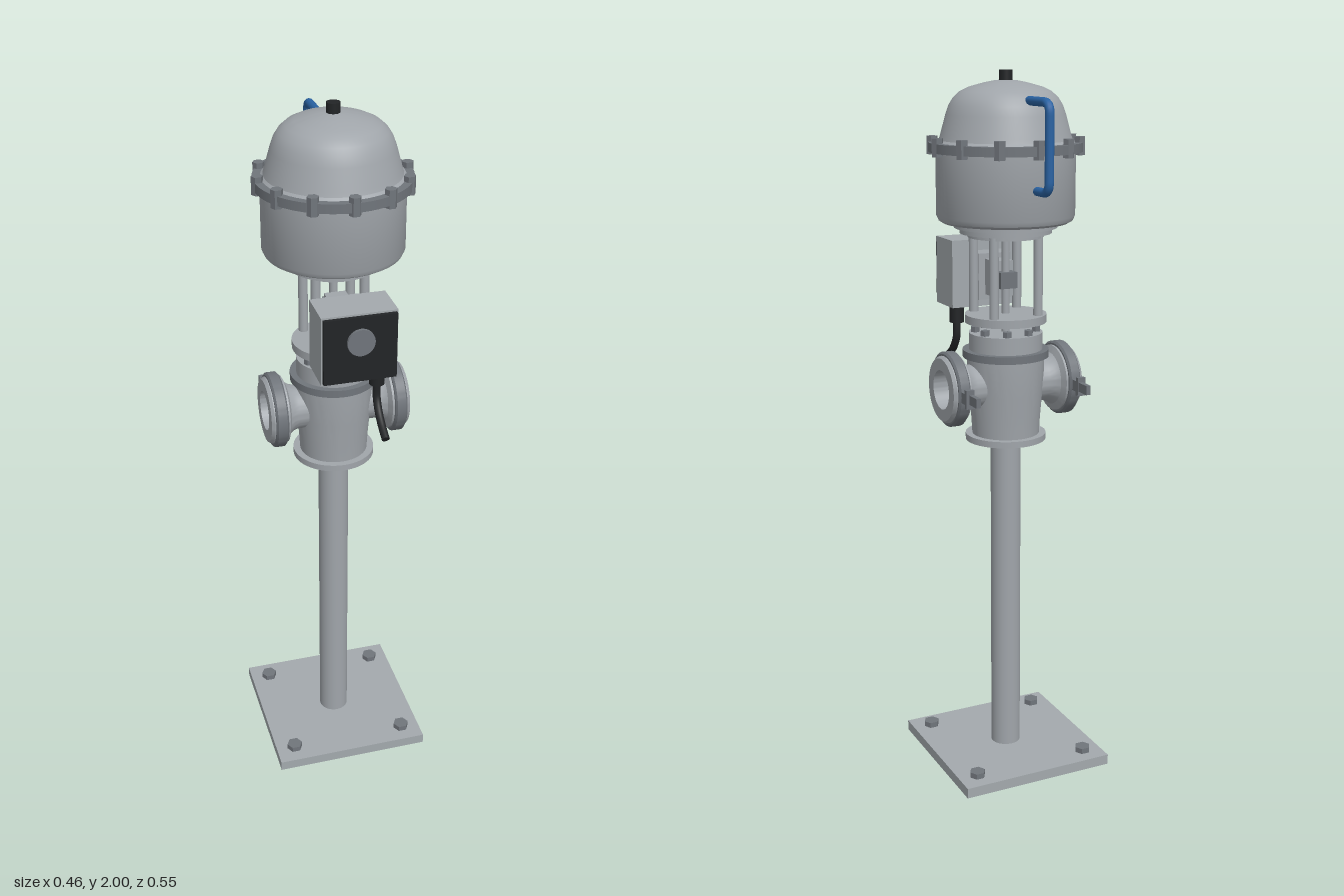
import * as THREE from 'three';
import { toCreasedNormals } from 'three/addons/utils/BufferGeometryUtils.js';

const material = (name, color, side = THREE.FrontSide) =>
  Object.assign(new THREE.MeshStandardMaterial({ color, side }), { name });

export function createModel() {
  const steel = material('steel grey', 0xa0a5aa);
  const plate = material('plate grey', 0xa3a9ad);
  const dark = material('dark grey', 0x70757b);
  const black = material('black', 0x222426);
  const blue = material('blue', 0x2a63a3);

  const model = new THREE.Group();
  model.name = 'controlValve';
  // Everything round shares one vertical axis, slightly behind the centre
  const column = new THREE.Group();
  column.name = 'column';
  column.position.z = -0.005;
  model.add(column);

  const add = (parent, name, geometry, mat, x = 0, y = 0, z = 0) => {
    const mesh = new THREE.Mesh(geometry, mat);
    mesh.name = name;
    mesh.position.set(x, y, z);
    parent.add(mesh);
    return mesh;
  };
  const box = (parent, name, mat, w, h, d, x, y, z) =>
    add(parent, name, new THREE.BoxGeometry(w, h, d), mat, x, y, z);
  // Upright cylinder between two heights
  const rod = (parent, name, mat, r, y0, y1, x = 0, z = 0, sides = 32) =>
    add(parent, name, new THREE.CylinderGeometry(r, r, y1 - y0, sides), mat, x, (y0 + y1) / 2, z);
  // Hexagonal bolt head with its corners along x
  const hex = (parent, name, r, y0, y1, x, z) => {
    const bolt = rod(parent, name, dark, r, y0, y1, x, z, 6);
    bolt.geometry.rotateY(Math.PI / 2);
    bolt.geometry = toCreasedNormals(bolt.geometry, 0.5);
    return bolt;
  };
  // Turned part from [radius, height] pairs
  const turned = (parent, name, mat, points) => {
    const lathe = new THREE.LatheGeometry(points.map(([r, y]) => new THREE.Vector2(r, y)), 64);
    return add(parent, name, toCreasedNormals(lathe, 0.5), mat);
  };

  // Base plate, anchor bolts and stand pipe
  box(column, 'basePlate', plate, 0.456, 0.03, 0.456, 0, 0.015, 0);
  for (const x of [-0.172, 0.172]) {
    for (const z of [-0.172, 0.172]) hex(column, 'anchorBolt', 0.023, 0.03, 0.046, x, z);
  }
  rod(column, 'standPipe', steel, 0.043, 0.03, 0.985, 0, 0, 48);

  // Valve body, bottom flange and bonnet
  rod(column, 'bottomFlange', steel, 0.114, 0.982, 1.0, 0, 0, 64);
  turned(column, 'valveBody', steel, [
    [0, 1.0], [0.095, 1.0], [0.098, 1.05], [0.104, 1.12], [0.108, 1.18], [0.109, 1.225], [0, 1.225],
  ]);
  rod(column, 'bonnetRing', dark, 0.121, 1.222, 1.243, 0, 0, 64);
  rod(column, 'bonnet', steel, 0.103, 1.243, 1.291, 0, 0, 64);
  for (let i = 0; i < 8; i++) {
    const a = (i + 0.5) * Math.PI / 4;
    hex(column, 'bonnetBolt', 0.013, 1.29, 1.306, Math.cos(a) * 0.085, Math.sin(a) * 0.085);
  }

  // Clamped pipe port on each side
  for (const side of [-1, 1]) {
    const port = new THREE.Group();
    port.name = side > 0 ? 'leftPort' : 'rightPort';
    port.position.y = 1.143;
    port.rotation.z = -side * Math.PI / 2;
    column.add(port);
    turned(port, 'portNeck', steel, [
      [0.062, 0.07], [0.062, 0.112], [0.066, 0.126], [0.075, 0.138], [0.094, 0.146],
      [0.094, 0.19], [0.088, 0.198], [0.055, 0.198], [0.055, 0.112], [0, 0.112],
    ]);
    turned(port, 'portClamp', dark, [
      [0.09, 0.152], [0.099, 0.152], [0.105, 0.157], [0.105, 0.182], [0.099, 0.187], [0.09, 0.187],
    ]);
    // Clamp latch with its wing nut
    box(column, 'clampLug', dark, 0.024, 0.03, 0.034, side * 0.17, 1.143, -0.114);
    box(column, 'clampNut', dark, 0.024, 0.052, 0.012, side * 0.17, 1.143, -0.131);
    box(column, 'clampScrew', dark, 0.013, 0.026, 0.05, side * 0.167, 1.143, -0.157);
  }

  // Yoke between bonnet and actuator
  rod(column, 'yokePlate', steel, 0.114, 1.32, 1.343, 0, 0, 64);
  rod(column, 'stem', steel, 0.011, 1.285, 1.57);
  for (const x of [-0.067, 0.067]) {
    for (const z of [-0.067, 0.067]) rod(column, 'yokePost', steel, 0.013, 1.34, 1.57, x, z, 24);
  }
  box(column, 'stemCoupling', dark, 0.05, 0.045, 0.05, 0, 1.437, 0.002);

  // Actuator housing, flange and dome
  turned(column, 'actuatorHousing', steel, [
    [0, 1.557], [0.105, 1.557], [0.105, 1.568], [0.127, 1.568], [0.127, 1.583], [0.142, 1.583],
    [0.142, 1.597], [0.172, 1.597], [0.184, 1.604], [0.19, 1.617], [0.19, 1.79], [0, 1.79],
  ]);
  rod(column, 'actuatorFlange', dark, 0.209, 1.787, 1.812, 0, 0, 64);
  for (let i = 0; i < 12; i++) {
    const a = i * Math.PI / 6;
    hex(column, 'flangeBolt', 0.016, 1.778, 1.827, Math.cos(a) * 0.2, Math.sin(a) * 0.2);
  }
  turned(column, 'dome', steel, [
    [0.19, 1.81], [0.181, 1.818], [0.177, 1.83], [0.162, 1.885], [0.153, 1.91], [0.141, 1.929],
    [0.123, 1.945], [0.1, 1.956], [0.06, 1.967], [0.03, 1.973], [0, 1.975],
  ]);
  rod(column, 'ventCap', black, 0.018, 1.965, 2.0, 0, 0, 24);

  // Air line looping from dome to housing
  const v = (x, y, z) => new THREE.Vector3(x, y, z);
  const airPath = new THREE.CurvePath();
  airPath.add(new THREE.LineCurve3(v(0, 1.925, -0.145), v(0, 1.925, -0.233)));
  airPath.add(new THREE.QuadraticBezierCurve3(v(0, 1.925, -0.233), v(0, 1.925, -0.263), v(0, 1.895, -0.263)));
  airPath.add(new THREE.LineCurve3(v(0, 1.895, -0.263), v(0, 1.727, -0.263)));
  airPath.add(new THREE.QuadraticBezierCurve3(v(0, 1.727, -0.263), v(0, 1.697, -0.263), v(0, 1.697, -0.233)));
  airPath.add(new THREE.LineCurve3(v(0, 1.697, -0.233), v(0, 1.697, -0.18)));
  add(model, 'airLine', new THREE.TubeGeometry(airPath, 64, 0.012, 12), blue);

  // Positioner box with bracket, cover and dial
  box(model, 'bracketArm', steel, 0.06, 0.1, 0.058, 0, 1.437, 0.038);
  box(model, 'bracket', steel, 0.1, 0.13, 0.066, 0, 1.437, 0.098);
  box(model, 'positionerBox', plate, 0.204, 0.192, 0.115, 0, 1.437, 0.1875);
  box(model, 'positionerCover', black, 0.196, 0.182, 0.011, 0, 1.437, 0.2505);
  const dial = add(model, 'dial', new THREE.CylinderGeometry(0.037, 0.037, 0.009, 32), dark, 0, 1.46, 0.26);
  dial.rotation.x = Math.PI / 2;

  // Cable gland and hanging cable
  rod(model, 'cableGland', black, 0.021, 1.29, 1.343, 0.068, 0.18, 16);
  const cablePath = new THREE.CatmullRomCurve3([
    v(0.068, 1.3, 0.18), v(0.068, 1.25, 0.182), v(0.068, 1.215, 0.202),
    v(0.068, 1.19, 0.23), v(0.068, 1.167, 0.269),
  ]);
  add(model, 'cable', new THREE.TubeGeometry(cablePath, 32, 0.011, 12), black);
  const end = add(model, 'cableEnd', new THREE.CircleGeometry(0.011, 12), black, 0.068, 1.167, 0.269);
  end.lookAt(cablePath.getTangent(1).add(end.position));

  return model;
}
